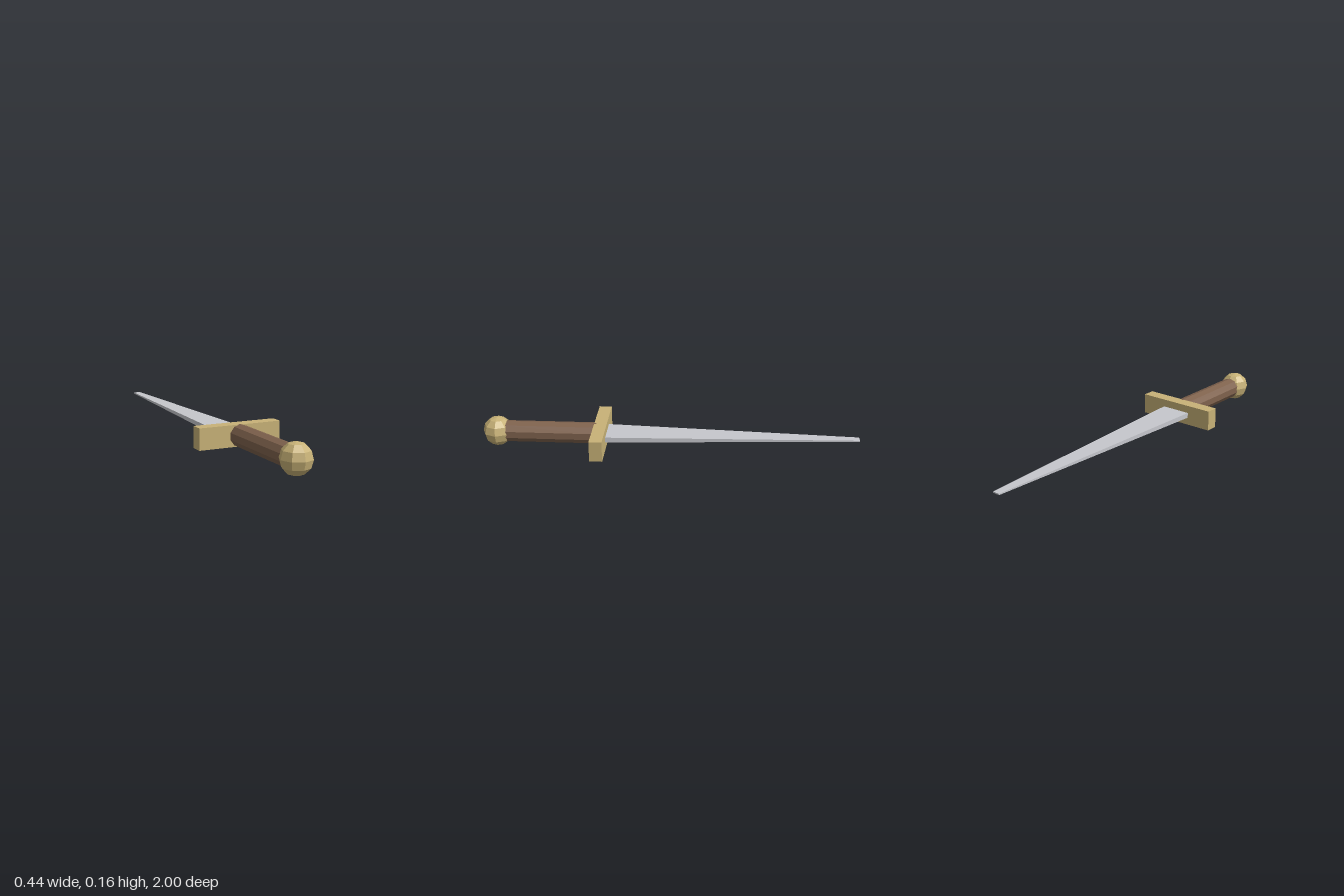
import * as THREE from 'three';

const AXIS_Y = 0.079; // height of the sword's long axis

function flatMaterial(name, color) {
  const m = new THREE.MeshStandardMaterial({ color, flatShading: true });
  m.name = name;
  return m;
}

export function createModel() {
  const group = new THREE.Group();
  group.name = 'sword';

  const brass = flatMaterial('brass', 0xc8b277);
  const wood = flatMaterial('brown wood', 0x7f624d);
  const steel = flatMaterial('steel', 0xc6c7cc);

  const add = (name, geometry, material, z) => {
    const mesh = new THREE.Mesh(geometry, material);
    mesh.name = name;
    mesh.position.set(0, AXIS_Y, z);
    group.add(mesh);
  };

  // Pommel: low-poly ball
  add('pommel', new THREE.SphereGeometry(0.079, 8, 6), brass, 0.921);

  // Grip: ten-sided rod with an edge on top
  const gripFront = 0.9, gripBack = 0.39;
  const grip = new THREE.CylinderGeometry(0.057, 0.057, gripFront - gripBack, 10);
  grip.rotateX(-Math.PI / 2);
  // after the turn the first edge points down; flip it to the top
  grip.rotateZ(Math.PI);
  add('grip', grip, wood, (gripFront + gripBack) / 2);

  // Crossguard
  add('crossguard', new THREE.BoxGeometry(0.444, 0.11, 0.067), brass, 0.367);

  // Blade: box narrowed and thinned toward a blunt tip
  const bladeLength = 1.335;
  const blade = new THREE.BoxGeometry(0.166, 0.028, bladeLength);
  const p = blade.attributes.position;
  for (let i = 0; i < p.count; i++) {
    if (p.getZ(i) < 0) {
      p.setX(i, p.getX(i) * 0.235);
      p.setY(i, p.getY(i) * 0.235);
    }
  }
  blade.computeVertexNormals();
  add('blade', blade, steel, -1 + bladeLength / 2);

  return group;
}
